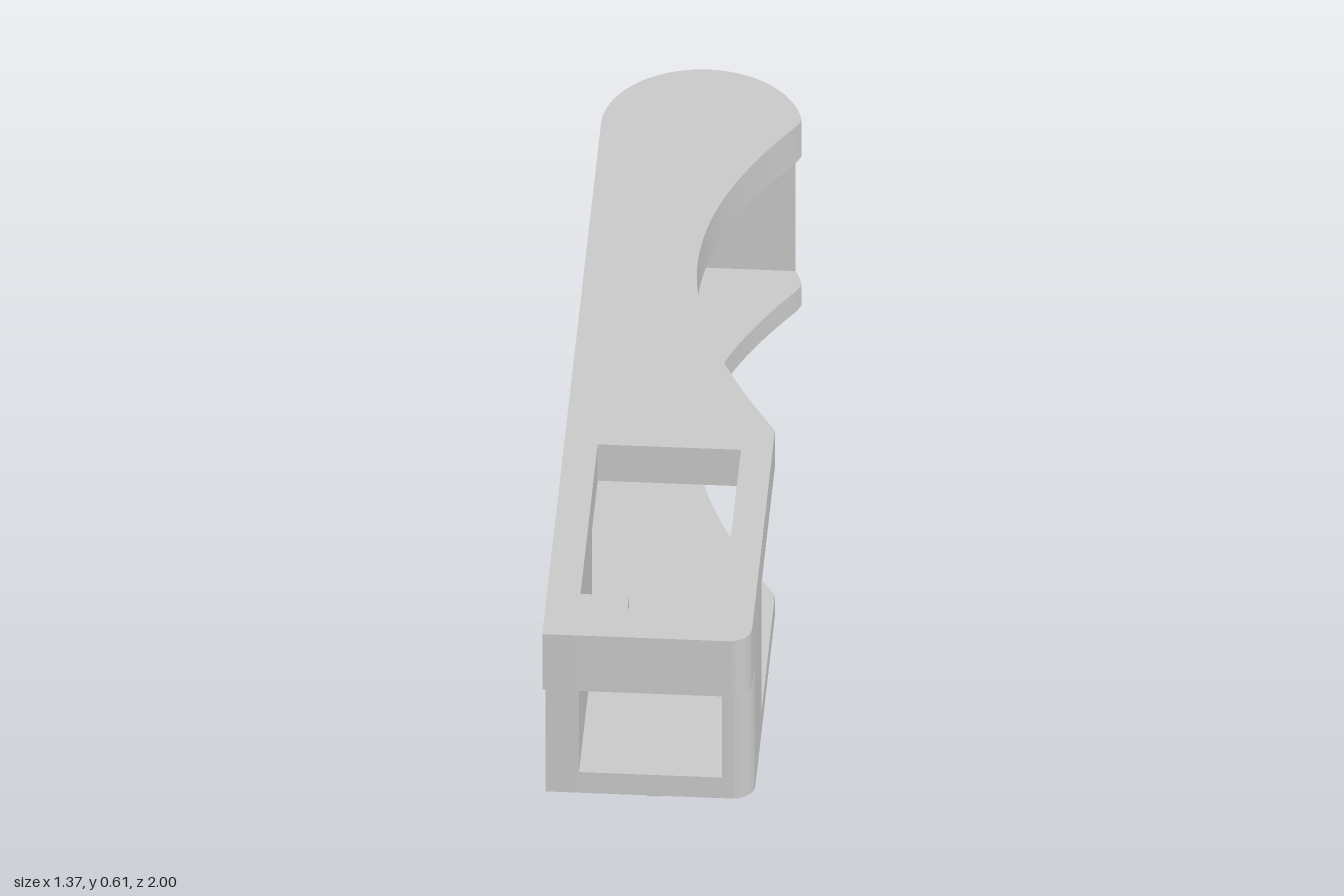
import * as THREE from 'three';
import { toCreasedNormals } from 'three/addons/utils/BufferGeometryUtils.js';

// Local frame: shape x runs across the arm, shape y runs towards its round end.
const LEFT = -0.233, RIGHT = 0.222;         // outer side faces
const IN_L = -0.16, IN_R = 0.153;           // pocket side faces
const BODY_END = 0.914, LIP_END = 1.02;     // front faces, along the arm
const END = { x: -0.013, y: 0.908, r: 0.22 };

const material = new THREE.MeshStandardMaterial({ color: 0xcccccc });

function polygon(points, Type = THREE.Shape) {
  return new Type(points.map(([x, y]) => new THREE.Vector2(x, y)));
}

// Rounded front corner on the right side
function roundCorner(shape, end, r = 0.05) {
  shape.lineTo(RIGHT, -end + r);
  shape.absarc(RIGHT - r, -end + r, r, 0, -Math.PI / 2, true);
}

// Whole plan outline: round end, concave flank, square front
function outline(end) {
  const s = new THREE.Shape();
  s.moveTo(LEFT, -end);
  s.lineTo(LEFT, END.y);
  s.absarc(END.x, END.y, END.r, Math.PI, 0.2, true);
  s.lineTo(0.193, 0.928);
  s.bezierCurveTo(-0.067, 0.524, -0.037, 0.2155, RIGHT, -0.22);
  roundCorner(s, end);
  s.closePath();
  return s;
}

// Pocket with a small key notch at the front
function pocketPath() {
  return polygon([
    [IN_L, -0.298], [IN_L, -0.863], [-0.054, -0.863], [-0.054, -0.911],
    [0.05, -0.911], [0.05, -0.863], [IN_R, -0.863], [IN_R, -0.298],
  ], THREE.Path);
}

// Front frame under the top plate, joining both walls into the lip
function lipShape() {
  const s = polygon([
    [LEFT, -LIP_END], [LEFT, -0.482], [IN_L, -0.482], [IN_L, -0.863], [-0.054, -0.863],
    [-0.054, -0.911], [0.05, -0.911], [0.05, -0.863], [IN_R, -0.863],
    [IN_R, -0.658], [RIGHT, -0.658],
  ]);
  roundCorner(s, LIP_END);
  s.closePath();
  return s;
}

// Right wall with its rounded front corner
function rightWallShape() {
  const s = polygon([[IN_R, -BODY_END], [IN_R, -0.658], [RIGHT, -0.658]]);
  roundCorner(s, BODY_END);
  s.closePath();
  return s;
}

// Circular segment closing the round end behind a flat inner face
function endSegmentShape() {
  const a = Math.asin((1.002 - END.y) / END.r);
  const s = new THREE.Shape();
  s.absarc(END.x, END.y, END.r, a, Math.PI - a, false);
  s.closePath();
  return s;
}

export function createModel() {
  const model = new THREE.Group();
  const arm = new THREE.Group();
  arm.name = 'arm';
  arm.rotation.y = Math.PI / 6;
  model.add(arm);

  const slab = (name, shape, y0, y1) => {
    const geo = new THREE.ExtrudeGeometry(shape, { depth: y1 - y0, bevelEnabled: false, curveSegments: 40 });
    geo.rotateX(-Math.PI / 2);
    geo.translate(0, y0, 0);
    const mesh = new THREE.Mesh(toCreasedNormals(geo, 0.5), material);
    mesh.name = name;
    arm.add(mesh);
  };

  // Plates
  slab('bottomPlate', outline(BODY_END), 0.11, 0.165);
  const top = outline(LIP_END);
  top.holes.push(pocketPath());
  slab('topPlate', top, 0.508, 0.605);

  // Walls between the plates
  slab('leftWall', polygon([[LEFT, -BODY_END], [IN_L, -BODY_END], [IN_L, -0.482], [LEFT, -0.482]]), 0.165, 0.457);
  slab('rightWall', rightWallShape(), 0.165, 0.457);
  slab('frontLip', lipShape(), 0.457, 0.508);
  slab('roundEnd', endSegmentShape(), 0.165, 0.508);

  // Locating pin under the front
  const pin = new THREE.Mesh(new THREE.CylinderGeometry(0.055, 0.055, 0.12, 40), material);
  pin.name = 'pin';
  pin.position.set(-0.005, 0.06, 0.708);
  arm.add(pin);

  return model;
}
